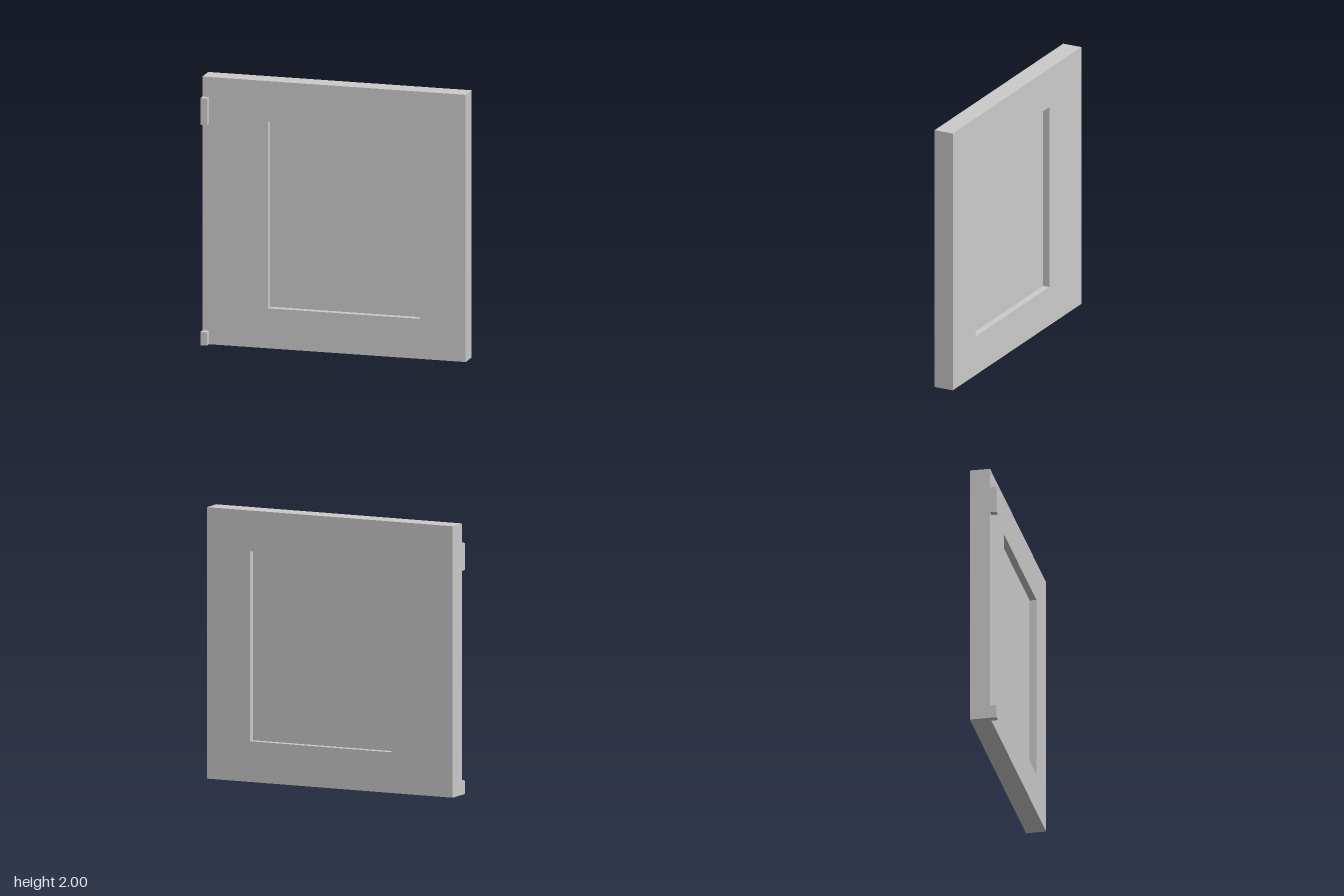
import * as THREE from 'three';

const material = new THREE.MeshStandardMaterial({ color: 0xcccccc, flatShading: true });

// Box given by its lower and upper corners
function box(name, [x0, y0, z0], [x1, y1, z1]) {
  const mesh = new THREE.Mesh(new THREE.BoxGeometry(x1 - x0, y1 - y0, z1 - z0), material);
  mesh.position.set((x0 + x1) / 2, (y0 + y1) / 2, (z0 + z1) / 2);
  mesh.name = name;
  return mesh;
}

// Rectangle outline added to a shape or a hole
function rectangle(path, x0, y0, x1, y1) {
  path.moveTo(x0, y0);
  path.lineTo(x1, y0);
  path.lineTo(x1, y1);
  path.lineTo(x0, y1);
  path.closePath();
  return path;
}

export function createModel() {
  const group = new THREE.Group();
  group.name = 'door';

  // Door frame with an off-centre rectangular opening
  const outline = rectangle(new THREE.Shape(), -1, 0, 1, 2);
  outline.holes.push(rectangle(new THREE.Path(), -0.5, 0.3, 0.65, 1.7));
  const frame = new THREE.Mesh(
    new THREE.ExtrudeGeometry(outline, { depth: 0.15, bevelEnabled: false }), material);
  frame.position.z = -0.1;
  frame.name = 'doorFrame';
  group.add(frame);

  // Thin panel recessed from both faces
  group.add(box('recessedPanel', [-0.5, 0.3, -0.05], [0.65, 1.7, 0]));

  // Hinge blocks on the front, along the right edge
  group.add(box('upperHinge', [-1, 1.65, 0.05], [-0.95, 1.85, 0.1]));
  group.add(box('lowerHinge', [-1, 0, 0.05], [-0.95, 0.1, 0.1]));

  return group;
}
